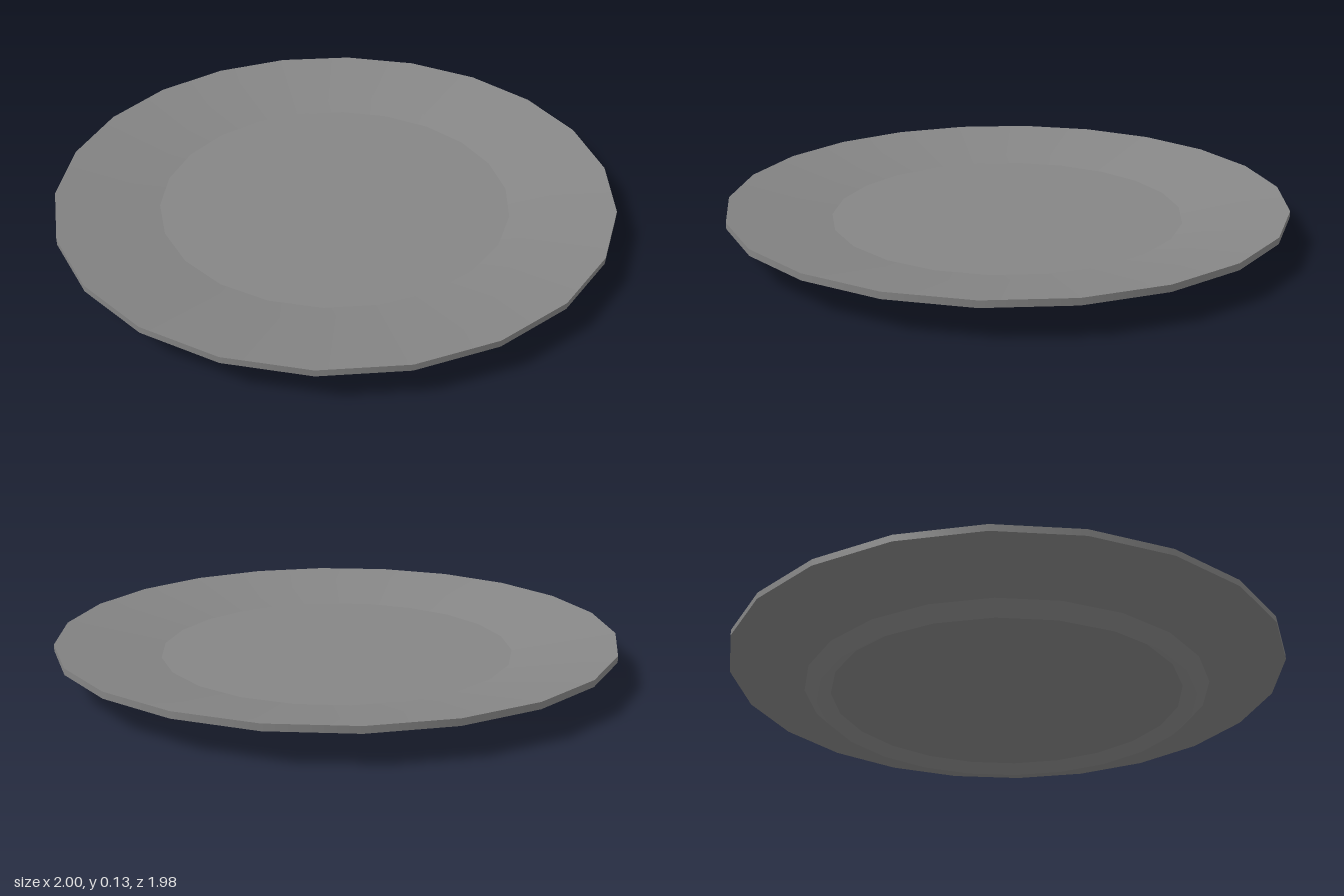
import * as THREE from 'three';
import { mergeGeometries } from 'three/addons/utils/BufferGeometryUtils.js';

const SIDES = 22;

// Turns each profile segment on its own: smooth around, sharp between bands.
function turnedBands(profile) {
  const bands = [];
  for (let i = 0; i < profile.length - 1; i++) {
    const points = [profile[i], profile[i + 1]].map(([r, y]) => new THREE.Vector2(r, y));
    bands.push(new THREE.LatheGeometry(points, SIDES, Math.PI / 2));
  }
  return mergeGeometries(bands);
}

export function createModel() {
  const group = new THREE.Group();
  group.name = 'plate';
  const material = new THREE.MeshStandardMaterial({ color: 0x868686 });

  // Profiles run from the underside outward, then over the rim to the middle.
  const parts = {
    // recessed base and the sharp ridge the plate stands on
    foot: [[0, 0.035], [0.636, 0.035], [0.683, 0], [0.73, 0.043]],
    // sloping underside, thin outer edge and sloping upper face
    rim: [[0.73, 0.043], [1, 0.105], [1, 0.128], [0.635, 0.057]],
    // flat eating surface
    floor: [[0.635, 0.057], [0, 0.057]],
  };

  for (const [name, profile] of Object.entries(parts)) {
    const mesh = new THREE.Mesh(turnedBands(profile), material);
    mesh.name = name;
    group.add(mesh);
  }
  return group;
}
